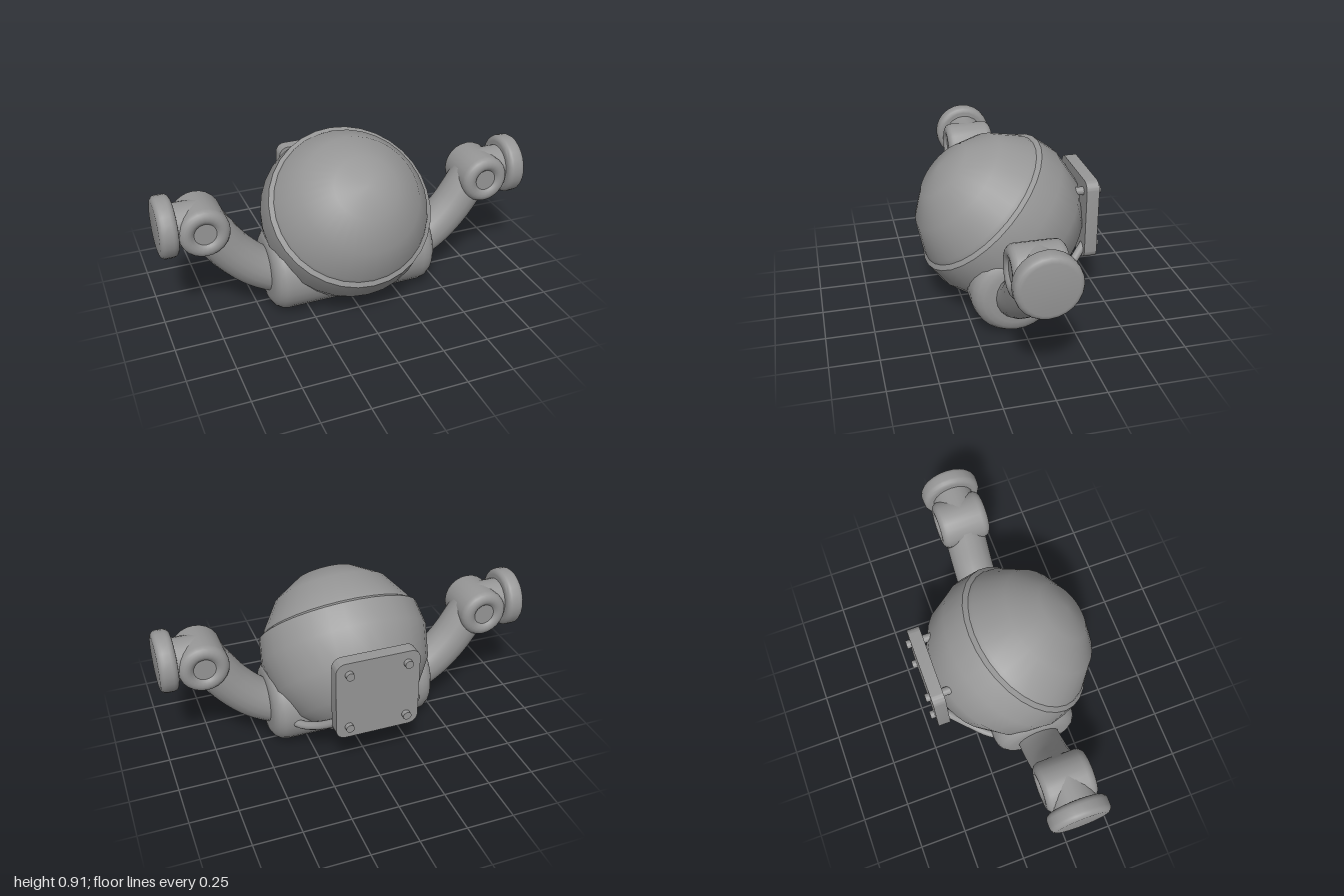
import * as THREE from 'three';
import { toCreasedNormals } from 'three/addons/utils/BufferGeometryUtils.js';

const material = new THREE.MeshStandardMaterial({ color: 0x969696 });

function add(parent, name, geometry, x = 0, y = 0, z = 0) {
  const mesh = new THREE.Mesh(geometry, material);
  mesh.name = name;
  mesh.position.set(x, y, z);
  parent.add(mesh);
  return mesh;
}

// Lathe around y from [radius, height] pairs listed bottom to top
function turned(points, segments = 24) {
  const profile = points.map(([r, h]) => new THREE.Vector2(r, h));
  return toCreasedNormals(new THREE.LatheGeometry(profile, segments), 0.65);
}

// Arc of profile points, centred at (r, h)
function round(r, h, radius, from, to, steps = 4) {
  return Array.from({ length: steps + 1 }, (_, i) => {
    const a = THREE.MathUtils.degToRad(from + ((to - from) * i) / steps);
    return [r + radius * Math.cos(a), h + radius * Math.sin(a)];
  });
}

function tube(points, radius, steps, sides) {
  const curve = new THREE.CatmullRomCurve3(points.map((p) => new THREE.Vector3(...p)));
  return new THREE.TubeGeometry(curve, steps, radius, sides);
}

// One arm reaching towards +x
function createArm() {
  const arm = new THREE.Group();
  add(arm, 'armTube', tube([[0.28, 0.165, 0], [0.40, 0.208, 0], [0.52, 0.279, 0],
    [0.63, 0.388, 0], [0.715, 0.51, 0], [0.76, 0.58, 0]], 0.113, 18, 18));

  // Elbow drum with rounded rims that curl into a shallow dimple at each end
  const elbow = turned([
    [0, -0.118], ...round(0.09, -0.095, 0.04, -145, 0, 7),
    ...round(0.09, 0.095, 0.04, 0, 145, 7), [0, 0.118],
  ]).rotateX(Math.PI / 2);
  add(arm, 'elbow', elbow, 0.775, 0.575, 0);

  const wrist = new THREE.CylinderGeometry(0.112, 0.112, 0.15, 20, 1, true).rotateZ(-Math.PI / 2);
  add(arm, 'wrist', wrist, 0.85, 0.593, 0);

  // Flange with softened edges and a flat outer face
  const flange = turned([
    [0, 0], [0.127, 0], ...round(0.13, 0.03, 0.03, -90, 0),
    ...round(0.13, 0.065, 0.03, 0, 90), [0, 0.095],
  ], 24).rotateZ(-Math.PI / 2);
  add(arm, 'flange', flange, 0.905, 0.596, 0);
  return arm;
}

export function createModel() {
  const model = new THREE.Group();
  const body = new THREE.Group();
  body.name = 'body';
  body.position.z = 0.04;
  model.add(body);

  // Ball with a slightly smaller dome, split on a tilted plane
  const ballPoint = (radius, degrees) => {
    const a = THREE.MathUtils.degToRad(degrees);
    return [Math.max(0, radius * Math.sin(a)), radius * Math.cos(a)];
  };
  const shell = [180, 157.5, 135, 112.5, 90, 73.4].map((a) => ballPoint(0.455, a));
  const dome = [70.6, 67.5, 45, 22.5, 0].map((a) => ballPoint(0.437, a));
  const step = [shell[shell.length - 1], dome[0]];
  [['shell', shell], ['rim', step], ['dome', dome]].forEach(([name, profile]) => {
    add(body, name, turned(profile, 32).rotateX(Math.PI / 4), 0, 0.475, 0);
  });

  // Crosswise base drum with rounded ends
  const base = turned([
    [0, -0.452], ...round(0.147, -0.372, 0.08, -90, 0),
    ...round(0.147, 0.372, 0.08, 0, 90), [0, 0.452],
  ], 28).rotateZ(-Math.PI / 2);
  add(body, 'base', base, 0, 0.227, 0);

  // Arms
  [['leftArm', 0], ['rightArm', Math.PI]].forEach(([name, angle]) => {
    const arm = createArm();
    arm.name = name;
    arm.rotation.y = angle;
    body.add(arm);
  });

  // Back plate with rounded corners
  const half = 0.22, corner = 0.05, inner = half - corner;
  const outline = new THREE.Shape();
  [[1, 1, 0], [-1, 1, 0.5], [-1, -1, 1], [1, -1, 1.5]].forEach(([sx, sy, turn]) => {
    outline.absarc(sx * inner, sy * inner, corner, turn * Math.PI, (turn + 0.5) * Math.PI);
  });
  const plate = new THREE.ExtrudeGeometry(outline, { depth: 0.067, bevelEnabled: false, curveSegments: 6 });
  add(model, 'backPlate', toCreasedNormals(plate, 0.6), 0, 0.48, -0.449);

  // Bolts, upper struts and lower hoses
  for (const s of [-1, 1]) {
    for (const y of [0.325, 0.635]) {
      const bolt = new THREE.CylinderGeometry(0.022, 0.022, 0.04, 14).rotateX(Math.PI / 2);
      add(model, 'bolt', bolt, s * 0.153, y, -0.453);
    }
    const strut = new THREE.CylinderGeometry(0.022, 0.022, 0.07, 14).rotateX(Math.PI / 2);
    add(model, 'strut', strut, s * 0.153, 0.635, -0.36);
    add(model, 'hose', tube([[s * 0.155, 0.325, -0.4], [s * 0.185, 0.30, -0.365],
      [s * 0.255, 0.235, -0.28], [s * 0.32, 0.202, -0.205], [s * 0.36, 0.195, -0.14]], 0.022, 16, 12));
  }
  return model;
}
